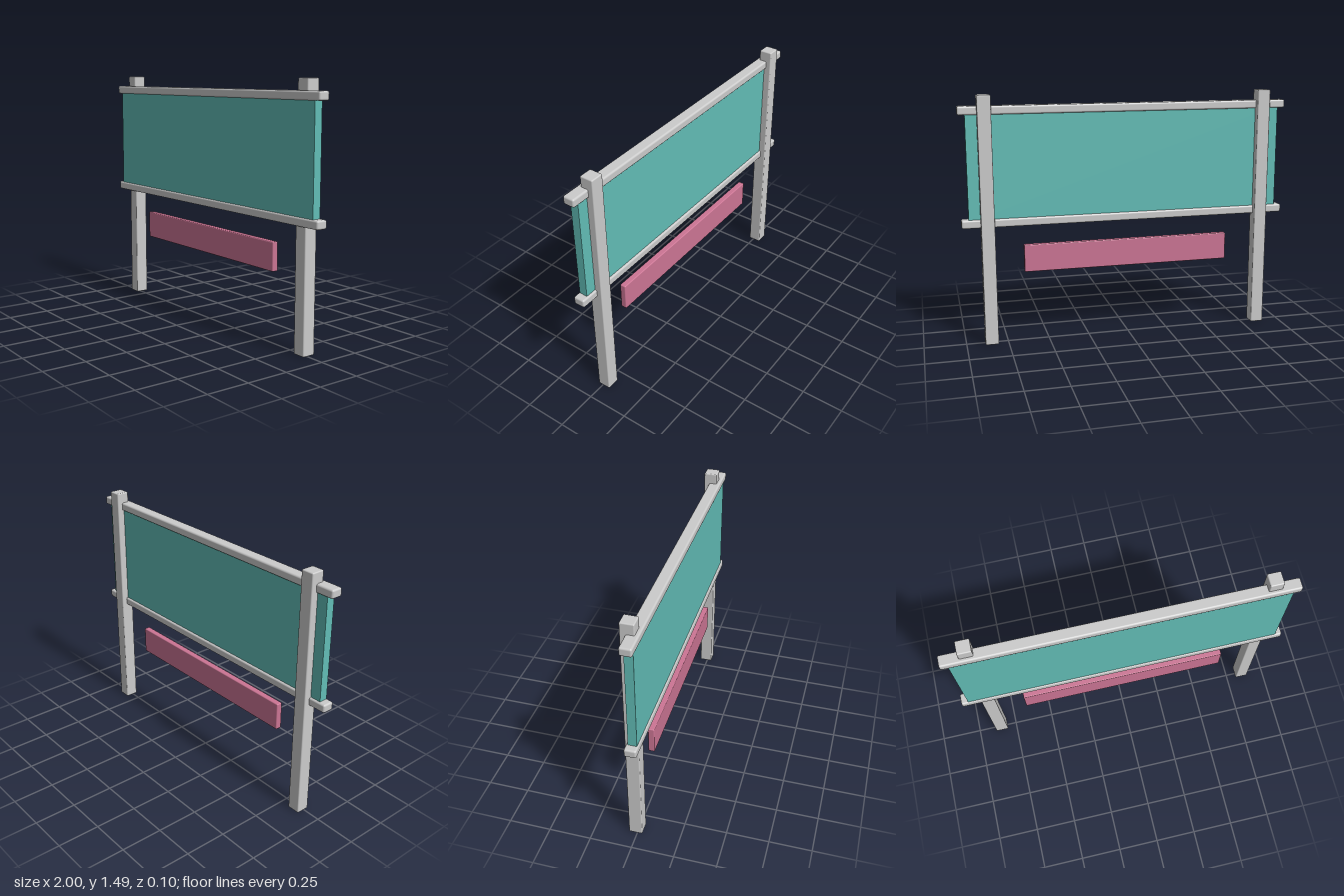
import * as THREE from 'three';
import { RoundedBoxGeometry } from 'three/addons/geometries/RoundedBoxGeometry.js';

const grey = new THREE.MeshStandardMaterial({ color: 0xcccccc });
const teal = new THREE.MeshStandardMaterial({ color: 0x62bdb6 });
const pink = new THREE.MeshStandardMaterial({ color: 0xcc7594 });

export function createModel() {
  const group = new THREE.Group();

  // Box with softened edges; a bevel of 0 gives a plain box
  function addBox(name, size, position, bevel, material) {
    const geometry = bevel > 0
      ? new RoundedBoxGeometry(...size, 2, bevel)
      : new THREE.BoxGeometry(...size);
    const mesh = new THREE.Mesh(geometry, material);
    mesh.name = name;
    mesh.position.set(...position);
    group.add(mesh);
  }

  // Upright posts behind the board
  for (const [name, side] of [['leftPost', 1], ['rightPost', -1]]) {
    addBox(name, [0.08, 1.49, 0.08], [side * 0.85, 0.745, -0.01], 0.007, grey);
  }

  // Main board held between two horizontal rails
  addBox('boardPanel', [1.915, 0.64, 0.05], [0, 1.07, 0.018], 0, teal);
  addBox('topRail', [2, 0.05, 0.07], [0, 1.401, 0.016], 0.011, grey);
  addBox('bottomRail', [2, 0.05, 0.07], [0, 0.739, 0.016], 0.011, grey);

  // Small plaque below the board
  addBox('lowerPlaque', [1.275, 0.168, 0.038], [0, 0.509, 0.018], 0.006, pink);

  return group;
}
